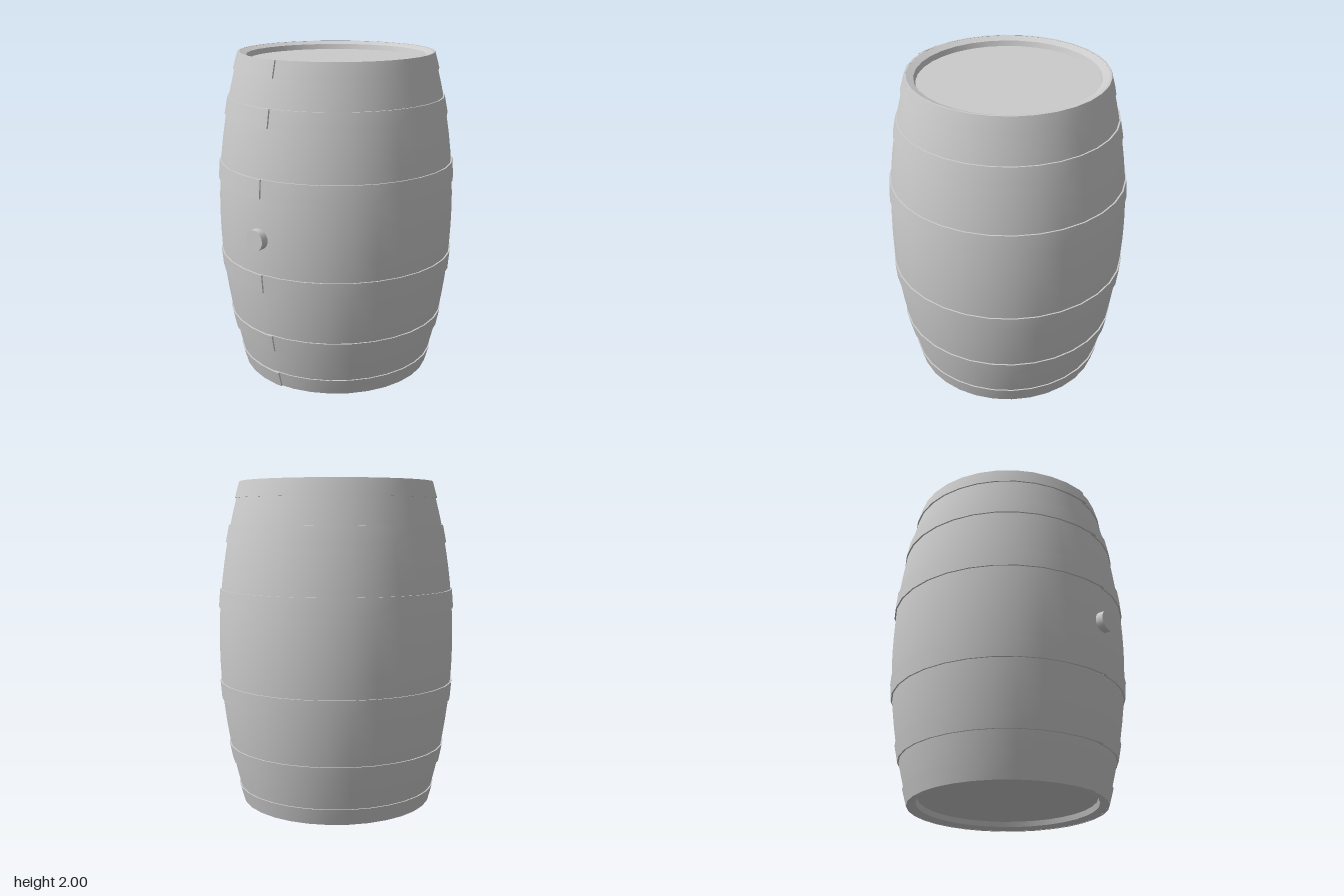
import * as THREE from 'three';
import { toCreasedNormals } from 'three/addons/utils/BufferGeometryUtils.js';

const SIDES = 32;
const THICK = 0.009;
const material = new THREE.MeshStandardMaterial({ color: 0xcccccc });

// Radius of the bulging staves at height y
const bulge = (y) => 0.735 - 0.145 * (y - 1) ** 2;

function addMesh(parent, name, geometry) {
  const mesh = new THREE.Mesh(geometry, material);
  mesh.name = name;
  parent.add(mesh);
  return mesh;
}

function lathe(points) {
  return new THREE.LatheGeometry(points.map(([r, y]) => new THREE.Vector2(r, y)), SIDES);
}

// Flat metal strip wrapped once round the staves, its end lapping over its start
function hoopGeometry(y0, y1, seamX) {
  const r0 = bulge(y0), r1 = bulge(y1);
  const step = (Math.PI * 2) / SIDES;
  const rings = [];
  for (let i = 0; i <= SIDES; i++) {
    const lift = i === SIDES ? THICK : i === SIDES - 1 ? THICK * 0.4 : 0;
    rings.push([i * step, lift]);
  }
  rings.push([Math.PI * 2 + seamX / r0, THICK]);

  const positions = [], index = [];
  for (const [angle, lift] of rings) {
    const section = [
      [r0 + lift - 0.003, y0], [r0 + lift + THICK, y0],
      [r1 + lift + THICK, y1], [r1 + lift - 0.003, y1],
    ];
    for (const [r, y] of section) positions.push(r * Math.sin(angle), y, r * Math.cos(angle));
  }
  const quad = (a, b, c, d) => index.push(a, b, c, a, c, d);
  for (let i = 0; i < rings.length - 1; i++) {
    for (let k = 0; k < 4; k++) {
      const n = (k + 1) % 4;
      quad(i * 4 + k, i * 4 + 4 + k, i * 4 + 4 + n, i * 4 + n);
    }
  }
  const e = (rings.length - 1) * 4;
  quad(0, 1, 2, 3);
  quad(e + 1, e, e + 3, e + 2);

  const geometry = new THREE.BufferGeometry();
  geometry.setAttribute('position', new THREE.Float32BufferAttribute(positions, 3));
  geometry.setIndex(index);
  return toCreasedNormals(geometry, 0.6);
}

export function createModel() {
  const model = new THREE.Group();
  model.name = 'barrel';
  const body = new THREE.Group();
  body.name = 'barrelBody';
  body.position.z = -0.02;
  model.add(body);

  // Bulging staves
  const profile = [];
  for (let i = 0; i <= 20; i++) profile.push([bulge(i / 10), i / 10]);
  addMesh(body, 'staves', lathe(profile));

  // Bevelled rim, recess wall and head at both ends
  for (const top of [true, false]) {
    const end = new THREE.Group();
    end.name = top ? 'topEnd' : 'bottomEnd';
    addMesh(end, 'rim', lathe([[0.59, 1], [0.545, 0.982]]));
    addMesh(end, 'recessWall', lathe([[0.545, 0.982], [0.535, 0.95]]));
    const head = addMesh(end, 'head', new THREE.CircleGeometry(0.535, SIDES));
    head.rotation.x = -Math.PI / 2;
    head.position.y = 0.95;
    end.position.y = 1;
    if (!top) end.rotation.x = Math.PI;
    body.add(end);
  }

  // Three pairs of hoops, mirrored about mid height
  const hoops = [
    ['endHoop', 0, 0.1, 0.037],
    ['quarterHoop', 0.263, 0.37, 0.043],
    ['bilgeHoop', 0.657, 0.77, 0.02],
  ];
  for (const [name, y0, y1, seamX] of hoops) {
    addMesh(body, name + 'Lower', hoopGeometry(y0, y1, seamX));
    addMesh(body, name + 'Upper', hoopGeometry(2 - y1, 2 - y0, seamX));
  }

  // Bung plug on the front
  const bung = addMesh(model, 'bung', new THREE.CylinderGeometry(0.062, 0.064, 0.075, 24));
  bung.rotation.x = Math.PI / 2;
  bung.position.set(0, 0.988, 0.7175);

  return model;
}
